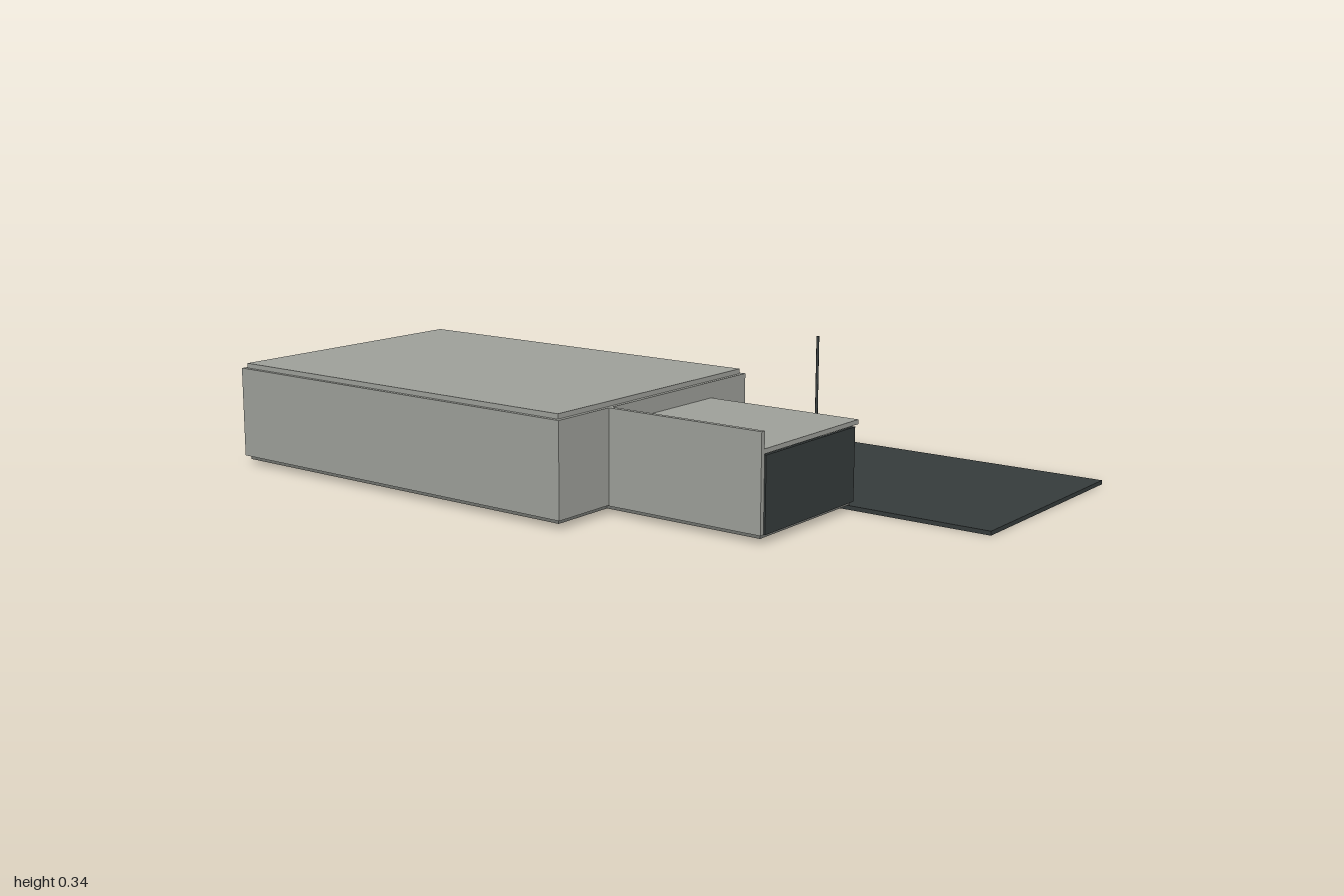
import * as THREE from 'three';

const mat = (name, color) => Object.assign(new THREE.MeshStandardMaterial({ color }), { name });

export function createModel() {
  const group = new THREE.Group();
  const concrete = mat('concrete', 0x9d9f99);
  const plinthGrey = mat('plinthGrey', 0x6f716d);
  const charcoal = mat('charcoal', 0x353b3b);

  // Box given by its extents on each axis
  const box = (name, material, [x0, x1], [y0, y1], [z0, z1]) => {
    const mesh = new THREE.Mesh(new THREE.BoxGeometry(x1 - x0, y1 - y0, z1 - z0), material);
    mesh.position.set((x0 + x1) / 2, (y0 + y1) / 2, (z0 + z1) / 2);
    mesh.name = name;
    group.add(mesh);
    return mesh;
  };

  // Block with a recessed plinth below and a recessed roof cap above
  const block = (name, [x0, x1], [y0, y1], [z0, z1], inset, cap) => {
    const x = [x0 + inset, x1 - inset], z = [z0 + inset, z1 - inset];
    box(name + 'Walls', concrete, [x0, x1], [y0, y1], [z0, z1]);
    box(name + 'Plinth', plinthGrey, x, [0.012, y0], z);
    box(name + 'RoofCap', concrete, x, [y1, y1 + cap], z);
  };
  block('hall', [-0.565, 0.15], [0.022, 0.247], [-0.805, 0.236], 0.01, 0.012);
  block('rearAnnex', [-0.29, -0.13], [0.024, 0.167], [-1, -0.805], 0.008, 0.008);

  // Front office: plinth, floor, roof and tall side wall
  box('officePlinth', plinthGrey, [-0.385, -0.018], [0.012, 0.02], [0.226, 0.643]);
  box('officeFloor', concrete, [-0.378, -0.028], [0.02, 0.026], [0.236, 0.643]);
  box('officeRoof', concrete, [-0.378, 0.005], [0.197, 0.208], [0.236, 0.647]);
  box('officeParapetWall', concrete, [-0.39, -0.378], [0.02, 0.247], [0.236, 0.647]);
  box('officeFrontPanel', charcoal, [-0.378, -0.015], [0.02, 0.195], [0.643, 0.651]);
  box('officeCounter', plinthGrey, [-0.1, -0.032], [0.026, 0.135], [0.355, 0.45]);

  // Window wall: drawn in (-z, y) and turned to face +x
  const rect = (path, z0, z1, y0, y1) => {
    path.moveTo(-z1, y0);
    path.lineTo(-z0, y0);
    path.lineTo(-z0, y1);
    path.lineTo(-z1, y1);
    path.closePath();
    return path;
  };
  const wall = rect(new THREE.Shape(), 0.236, 0.643, 0.02, 0.197);
  const windows = [[0.485, 0.61], [0.345, 0.465], [0.26, 0.33]];
  for (const [z0, z1] of windows) wall.holes.push(rect(new THREE.Path(), z0, z1, 0.085, 0.193));
  const wallMesh = new THREE.Mesh(
    new THREE.ExtrudeGeometry(wall, { depth: 0.013, bevelEnabled: false }), concrete);
  wallMesh.rotation.y = Math.PI / 2;
  wallMesh.position.x = -0.028;
  wallMesh.name = 'officeWindowWall';
  group.add(wallMesh);

  // Slim frame edges beside each window
  for (const [z0, z1] of windows)
    for (const z of [z0, z1])
      box('windowFrame', charcoal, [-0.024, -0.014], [0.085, 0.193], [z - 0.0015, z + 0.0015]);

  // Paved yard and its pole
  box('yard', charcoal, [-0.02, 0.565], [0, 0.01], [-0.18, 1]);
  const pole = new THREE.Mesh(new THREE.CylinderGeometry(0.0035, 0.0035, 0.333, 12), charcoal);
  pole.position.set(0.245, 0.1765, 0.385);
  pole.name = 'pole';
  group.add(pole);

  return group;
}
